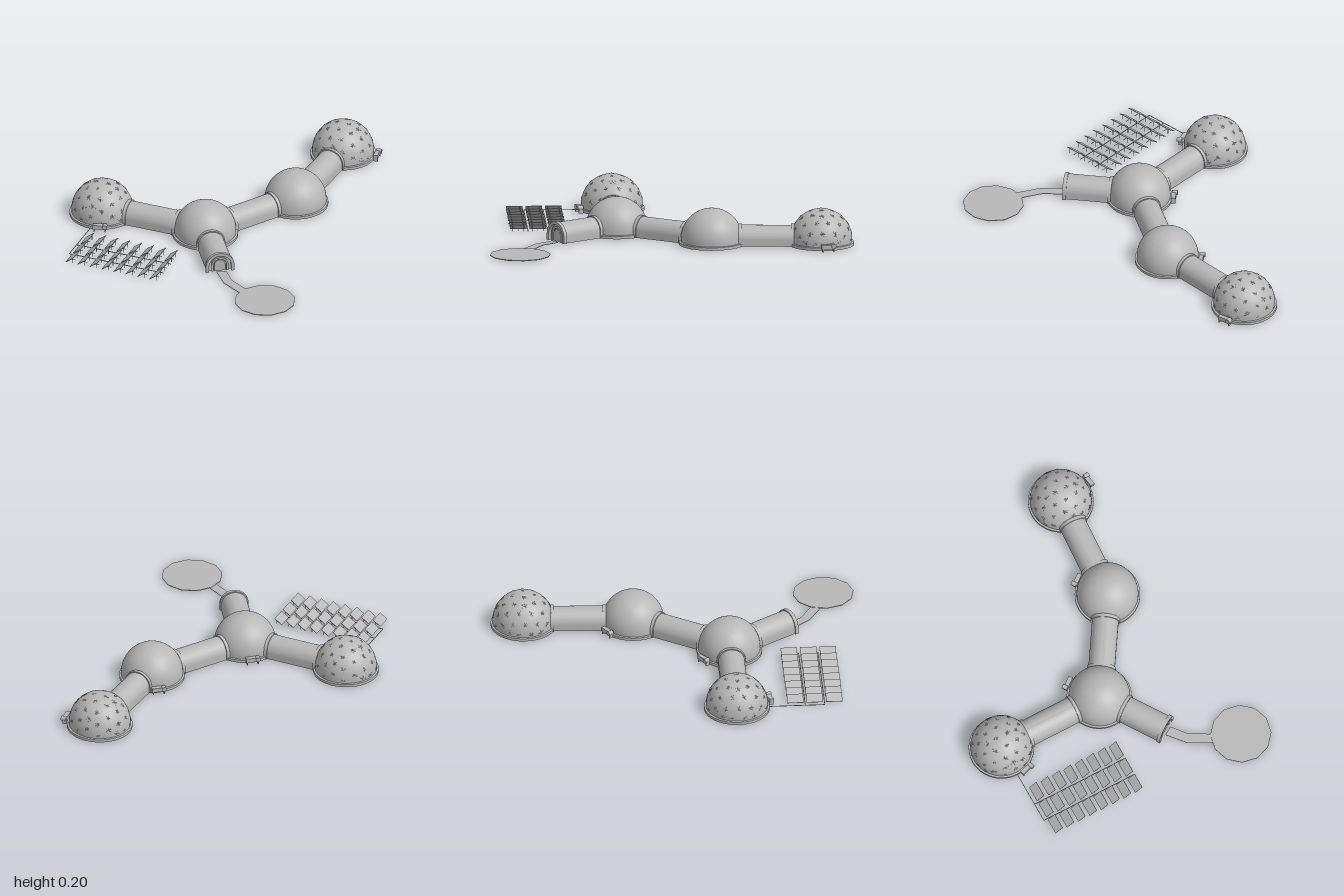
import * as THREE from 'three';
import { mergeGeometries, toCreasedNormals } from 'three/addons/utils/BufferGeometryUtils.js';

const grey = new THREE.MeshStandardMaterial({ color: 0xb8b8b8, side: THREE.DoubleSide });
grey.name = 'grey';

function add(parent, name, geometry, x = 0, y = 0, z = 0) {
  const mesh = new THREE.Mesh(geometry, grey);
  mesh.name = name;
  mesh.position.set(x, y, z);
  parent.add(mesh);
  return mesh;
}

// Arch with straight legs, extruded along +z; inner = 0 makes it solid
function arch(outer, inner, springY, length) {
  const s = new THREE.Shape();
  s.moveTo(outer, 0);
  s.lineTo(outer, springY);
  s.absarc(0, springY, outer, 0, Math.PI, false);
  s.lineTo(-outer, 0);
  if (inner > 0) {
    s.lineTo(-inner, 0);
    s.lineTo(-inner, springY);
    s.absarc(0, springY, inner, Math.PI, 0, true);
    s.lineTo(inner, 0);
  }
  s.closePath();
  const g = new THREE.ExtrudeGeometry(s, { depth: length, bevelEnabled: false, curveSegments: 24 });
  return toCreasedNormals(g, 0.6);
}

const R = 0.168, CY = 0.032;

// Hollow dome with a base skirt
function domeGeometry() {
  const pts = [[0.178, 0.002], [0.178, 0.018], [R, 0.02]].map(p => new THREE.Vector2(...p));
  for (let i = 0; i <= 24; i++) {
    const a = (i / 24) * Math.PI / 2;
    pts.push(new THREE.Vector2(Math.max(0, R * Math.cos(a)), CY + R * Math.sin(a)));
  }
  return toCreasedNormals(new THREE.LatheGeometry(pts, 64), 0.6);
}

// Geodesic struts half sunk in the dome skin
function latticeGeometry() {
  const p = new THREE.IcosahedronGeometry(R + 0.0012, 2).attributes.position;
  const up = new THREE.Vector3(0, 1, 0), seen = new Set(), struts = [];
  const key = v => v.toArray().map(n => Math.round(n * 1000) + 0).join();
  for (let i = 0; i < p.count; i += 3) {
    for (let k = 0; k < 3; k++) {
      const a = new THREE.Vector3().fromBufferAttribute(p, i + k);
      const b = new THREE.Vector3().fromBufferAttribute(p, i + (k + 1) % 3);
      const id = [key(a), key(b)].sort().join('|');
      if (seen.has(id) || Math.min(a.y, b.y) < -0.012) continue;
      seen.add(id);
      const d = b.clone().sub(a);
      const g = new THREE.CylinderGeometry(0.0015, 0.0015, d.length(), 5);
      g.applyQuaternion(new THREE.Quaternion().setFromUnitVectors(up, d.normalize()));
      g.translate((a.x + b.x) / 2, (a.y + b.y) / 2 + CY, (a.z + b.z) / 2);
      struts.push(g);
    }
  }
  return mergeGeometries(struts);
}

// Group at a point whose +z axis looks at a target
function facing(parent, name, [x, z], [tx, tz]) {
  const g = new THREE.Group();
  g.name = name;
  g.position.set(x, 0, z);
  g.rotation.y = Math.atan2(tx - x, tz - z);
  parent.add(g);
  return g;
}

export function createModel() {
  const model = new THREE.Group();
  model.name = 'domeBase';

  const west = [-0.587, 0.278], hub = [0.018, 0.278], mid = [0.341, -0.225], north = [0.375, -0.82];
  const entry = [0.245, 0.617];

  // Domes
  const dome = domeGeometry(), lattice = latticeGeometry();
  [['westDome', west, true], ['hubDome', hub, false], ['middleDome', mid, false], ['northDome', north, true]]
    .forEach(([name, [x, z], geodesic]) => {
      add(model, name, dome, x, 0, z);
      if (geodesic) add(model, name + 'Lattice', lattice, x, 0, z);
    });

  // Connecting tunnels with a collar at each dome
  const collar = arch(0.079, 0.069, 0.033, 0.018);
  [[hub, west], [hub, mid], [mid, north]].forEach(([a, b]) => {
    const len = Math.hypot(b[0] - a[0], b[1] - a[1]);
    const g = facing(model, 'tunnel', a, b);
    add(g, 'tunnelShell', arch(0.072, 0.068, 0.033, len - 0.26), 0, 0.003, 0.13);
    add(g, 'tunnelCollar', collar, 0, 0.002, 0.147);
    add(g, 'tunnelCollar', collar, 0, 0.002, len - 0.165);
  });

  // Entrance tunnel with nested arches around the door
  const reach = Math.hypot(entry[0] - hub[0], entry[1] - hub[1]);
  const e = facing(model, 'entrance', hub, entry);
  add(e, 'entranceShell', arch(0.072, 0.068, 0.033, reach - 0.13), 0, 0.003, 0.13);
  add(e, 'entranceCollar', collar, 0, 0.002, 0.147);
  add(e, 'entranceRim', arch(0.079, 0.062, 0.033, 0.02), 0, 0.002, reach - 0.015);
  add(e, 'entranceWall', arch(0.07, 0, 0.033, 0.006), 0, 0.003, reach - 0.02);
  add(e, 'doorFrame', arch(0.046, 0.036, 0.036, 0.014), 0, 0.003, reach - 0.015);
  add(e, 'door', arch(0.03, 0, 0.036, 0.01), 0, 0.003, reach - 0.015);

  // Footpath and landing pad
  const path = new THREE.Shape([[0.232, 0.637], [0.315, 0.735], [0.46, 0.815], [0.48, 0.765], [0.345, 0.69],
    [0.278, 0.608]].map(([x, z]) => new THREE.Vector2(x, -z)));
  const pathGeo = new THREE.ExtrudeGeometry(path, { depth: 0.003, bevelEnabled: false });
  add(model, 'footpath', pathGeo.rotateX(-Math.PI / 2), 0, 0.003, 0);
  const pad = new THREE.CylinderGeometry(0.166, 0.166, 0.004, 12).toNonIndexed();
  pad.computeVertexNormals();
  add(model, 'landingPad', pad, 0.595, 0.006, 0.827).rotation.y = 0.07;

  // Solar field: tilted panels on posts
  const panel = new THREE.BoxGeometry(0.053, 0.003, 0.089);
  const post = new THREE.CylinderGeometry(0.0015, 0.0015, 0.03, 6);
  const brace = new THREE.BoxGeometry(0.024, 0.002, 0.003);
  for (let row = 0; row < 3; row++) {
    for (let col = 0; col < 8; col++) {
      const x = -0.542 + col * 0.0703, z = 0.598 + row * 0.106;
      add(model, 'solarPanel', panel, x, 0.024, z).rotation.z = 0.62;
      for (const s of [-1, 1]) add(model, 'panelPost', post, x + 0.014, 0.017, z + s * 0.03);
      add(model, 'panelBrace', brace, x + 0.004, 0.006, z);
    }
  }

  // Power cables
  for (const z of [0.651, 0.757]) add(model, 'cable', new THREE.BoxGeometry(0.555, 0.003, 0.004), -0.307, 0.004, z);
  add(model, 'feedCable', new THREE.BoxGeometry(0.003, 0.003, 0.32), -0.584, 0.004, 0.597);

  // Service units beside the domes: cabinet, tank and feet
  [[west, [-0.527, 0.462]], [hub, [-0.098, 0.127]], [mid, [0.23, -0.375]], [north, [0.566, -0.85]]]
    .forEach(([c, p]) => {
      const u = facing(model, 'serviceUnit', p, [2 * p[0] - c[0], 2 * p[1] - c[1]]);
      add(u, 'cabinet', new THREE.BoxGeometry(0.074, 0.024, 0.024), 0, 0.027, -0.004);
      const tank = add(u, 'tank', new THREE.CylinderGeometry(0.013, 0.013, 0.028, 16), 0.028, 0.032, 0.002);
      tank.rotation.x = Math.PI / 2;
      for (const s of [-1, 1]) add(u, 'foot', new THREE.BoxGeometry(0.006, 0.015, 0.024), s * 0.03, 0.0075, -0.004);
    });

  return model;
}
